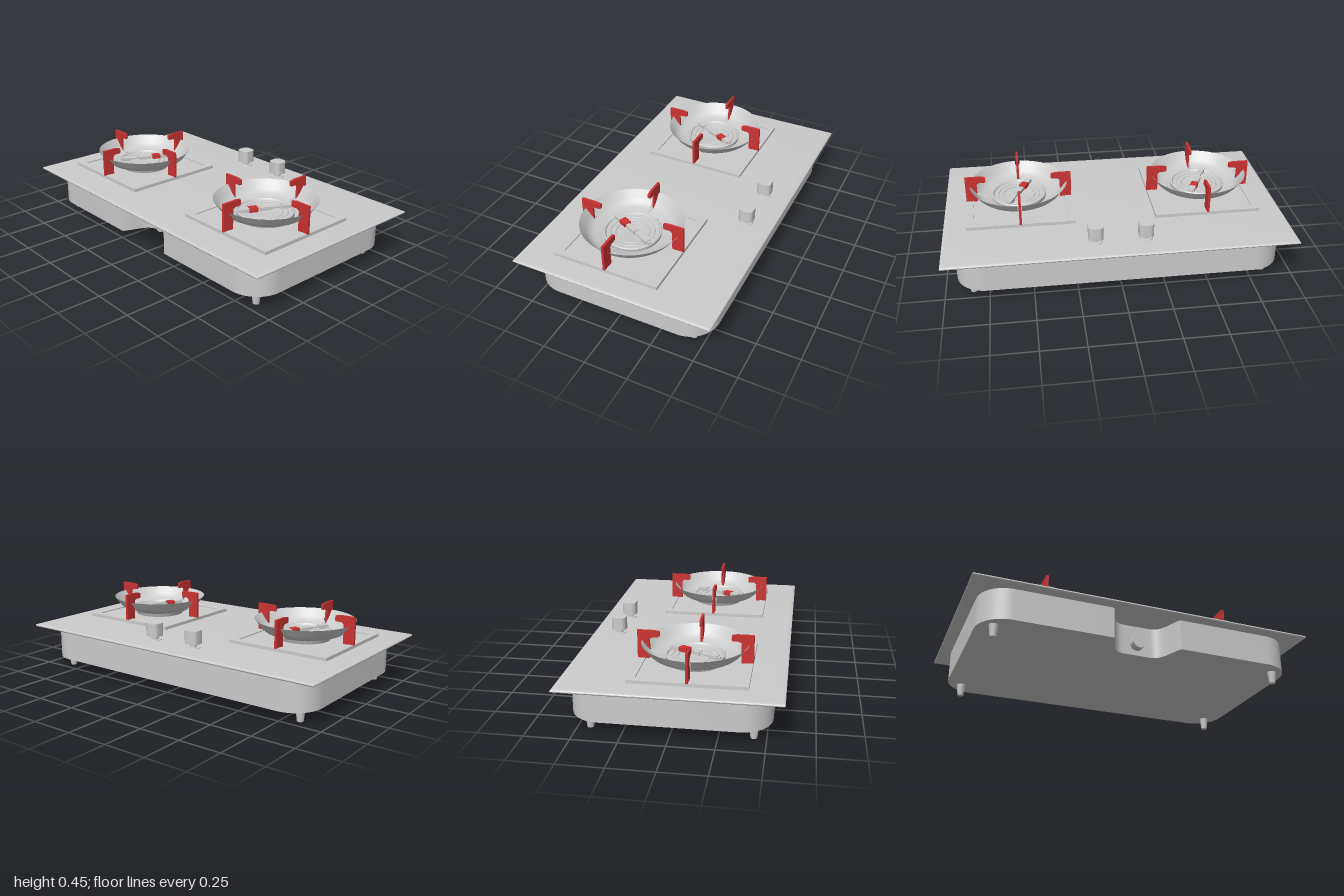
import * as THREE from 'three';
import { toCreasedNormals } from 'three/addons/utils/BufferGeometryUtils.js';

const grey = new THREE.MeshStandardMaterial({ color: 0xcccccc });
const greyThin = new THREE.MeshStandardMaterial({ color: 0xcccccc, side: THREE.DoubleSide });
const red = new THREE.MeshStandardMaterial({ color: 0xcc3333 });

function add(parent, name, geometry, material, x = 0, y = 0, z = 0) {
  const mesh = new THREE.Mesh(geometry, material);
  mesh.name = name;
  mesh.position.set(x, y, z);
  parent.add(mesh);
  return mesh;
}

const v = (pairs) => pairs.map(([x, y]) => new THREE.Vector2(x, y));

function rectangle(hx, hz) {
  return new THREE.Shape(v([[-hx, -hz], [hx, -hz], [hx, hz], [-hx, hz]]));
}

// Flat outline in x, z extruded downwards from y = 0
function slab(shape, height, options = {}) {
  const geo = new THREE.ExtrudeGeometry(shape, { depth: height, bevelEnabled: false, curveSegments: 12, ...options });
  geo.rotateX(Math.PI / 2);
  return toCreasedNormals(geo, 0.6);
}

// Rounded casing outline with a curved recess in the front edge
function casingOutline() {
  const w = 0.93, f = 0.528, b = -0.541, r = 0.17;
  const s = new THREE.Shape();
  s.moveTo(-w + r, b);
  s.lineTo(w - r, b);
  s.absarc(w - r, b + r, r, -Math.PI / 2, 0, false);
  s.lineTo(w, f - r);
  s.absarc(w - r, f - r, r, 0, Math.PI / 2, false);
  s.lineTo(0.2, f);
  s.bezierCurveTo(0.16, 0.46, 0.16, 0.36, 0.08, 0.36);
  s.lineTo(-0.08, 0.36);
  s.bezierCurveTo(-0.16, 0.36, -0.16, 0.46, -0.2, f);
  s.lineTo(-w + r, f);
  s.absarc(-w + r, f - r, r, Math.PI / 2, Math.PI, false);
  s.lineTo(-w, b + r);
  s.absarc(-w + r, b + r, r, Math.PI, Math.PI * 1.5, false);
  return s;
}

function createKnob() {
  const knob = new THREE.Group();
  knob.name = 'controlKnob';
  add(knob, 'knobFlange', new THREE.CylinderGeometry(0.038, 0.04, 0.006, 32), grey, 0, 0.277, 0);
  add(knob, 'knobStem', new THREE.CylinderGeometry(0.02, 0.02, 0.03, 24), grey, 0, 0.29, 0);
  // Cap: a square with generously rounded corners
  const h = 0.042, r = 0.026, s = new THREE.Shape();
  for (let i = 0; i < 4; i++) {
    const a = i * Math.PI / 2;
    const cx = (i === 0 || i === 3 ? 1 : -1) * (h - r);
    const cz = (i < 2 ? 1 : -1) * (h - r);
    s.absarc(cx, cz, r, a, a + Math.PI / 2, false);
  }
  add(knob, 'knobCap', slab(s, 0.077), grey, 0, 0.377, 0);
  return knob;
}

function createBurner() {
  const burner = new THREE.Group();
  burner.name = 'burner';

  // Square drip tray: floor with a raised border
  add(burner, 'trayFloor', new THREE.BoxGeometry(0.62, 0.012, 0.62), grey, 0, 0.28, 0);
  const border = rectangle(0.315, 0.315);
  border.holes.push(rectangle(0.275, 0.275));
  add(burner, 'trayBorder', slab(border, 0.02), grey, 0, 0.293, 0);

  // Flared bowl in four quarters, leaving slots for the pan supports
  const flare = new THREE.SplineCurve(v([
    [0.19, 0.317], [0.225, 0.328], [0.25, 0.346], [0.27, 0.371], [0.292, 0.4],
  ])).getPoints(14);
  const gap = 0.05;
  for (let i = 0; i < 4; i++) {
    add(burner, 'bowlQuarter', new THREE.LatheGeometry(flare, 20, i * Math.PI / 2 + gap, Math.PI / 2 - 2 * gap), greyThin);
  }
  add(burner, 'bowlCollar', new THREE.LatheGeometry(v([[0.155, 0.308], [0.172, 0.311], [0.191, 0.317]]), 64), greyThin);

  // Burner head: base, lipped ring, stepped rings and funnel floor
  add(burner, 'burnerBase', new THREE.CylinderGeometry(0.16, 0.15, 0.024, 48), grey, 0, 0.298, 0);
  const ring = new THREE.LatheGeometry(v([
    [0.162, 0.308], [0.165, 0.33], [0.161, 0.335], [0.154, 0.335], [0.15, 0.33], [0.146, 0.318],
  ]), 64);
  add(burner, 'burnerRing', toCreasedNormals(ring, 0.6), greyThin);
  add(burner, 'burnerFunnel', new THREE.LatheGeometry(v([[0, 0.311], [0.148, 0.324]]), 48), greyThin);
  for (const [r, y] of [[0.125, 0.322], [0.095, 0.32]]) {
    const coil = new THREE.TorusGeometry(r, 0.004, 8, 48);
    coil.rotateX(Math.PI / 2);
    add(burner, 'burnerCoil', coil, grey, 0, y, 0);
  }

  // Diagonal bridge with the red ignition block
  const bridge = new THREE.Group();
  bridge.name = 'bridge';
  bridge.rotation.y = -0.45;
  add(bridge, 'bridgeBar', new THREE.BoxGeometry(0.022, 0.01, 0.32), grey, 0, 0.34, 0);
  for (const [z, len] of [[-0.125, 0.055], [0, 0.07], [0.12, 0.05]]) {
    add(bridge, 'bridgeBlock', new THREE.BoxGeometry(0.036, 0.02, len), grey, 0, 0.34, z);
  }
  add(bridge, 'ignitionBlock', new THREE.BoxGeometry(0.042, 0.024, 0.05), red, 0, 0.341, -0.073);
  burner.add(bridge);
  return burner;
}

// Four hooked pan supports around a burner
function createSupports() {
  const supports = new THREE.Group();
  supports.name = 'panSupports';
  const shape = new THREE.Shape(v([
    [0.25, 0.291], [0.318, 0.291], [0.318, 0.452], [0.225, 0.452], [0.196, 0.446],
    [0.196, 0.42], [0.202, 0.414], [0.235, 0.414], [0.25, 0.404],
  ]));
  const geo = new THREE.ExtrudeGeometry(shape, { depth: 0.014, bevelEnabled: false });
  geo.translate(0, 0, -0.007);
  for (let i = 0; i < 4; i++) add(supports, 'panSupport', geo, red).rotation.y = i * Math.PI / 2;
  return supports;
}

export function createModel() {
  const model = new THREE.Group();
  model.name = 'gasHob';

  // Worktop plate with softly bevelled edges
  const plate = slab(rectangle(0.975, 0.565), 0.004, {
    bevelEnabled: true, bevelSize: 0.025, bevelThickness: 0.009, bevelSegments: 3,
  });
  add(model, 'topPlate', plate, grey, 0, 0.265, 0);

  // Casing below the plate, and the gas inlet in its recess
  add(model, 'casing', slab(casingOutline(), 0.187), grey, 0, 0.257, 0);
  const inlet = new THREE.CylinderGeometry(0.04, 0.04, 0.07, 32);
  inlet.rotateX(Math.PI / 2);
  add(model, 'gasInlet', inlet, grey, 0, 0.14, 0.375);

  // Tapered feet
  for (const x of [-0.84, 0.84]) for (const z of [-0.432, 0.433]) {
    add(model, 'foot', new THREE.CylinderGeometry(0.027, 0.018, 0.072, 20), grey, x, 0.036, z);
  }

  // Knobs, burners and supports on both sides
  for (const side of [-1, 1]) {
    const knob = createKnob();
    knob.position.set(side * 0.143, 0, -0.433);
    model.add(knob);

    const burner = createBurner();
    burner.position.set(side * 0.553, 0, 0.087);
    if (side > 0) burner.rotation.y = Math.PI;
    burner.add(createSupports());
    model.add(burner);
  }
  return model;
}
